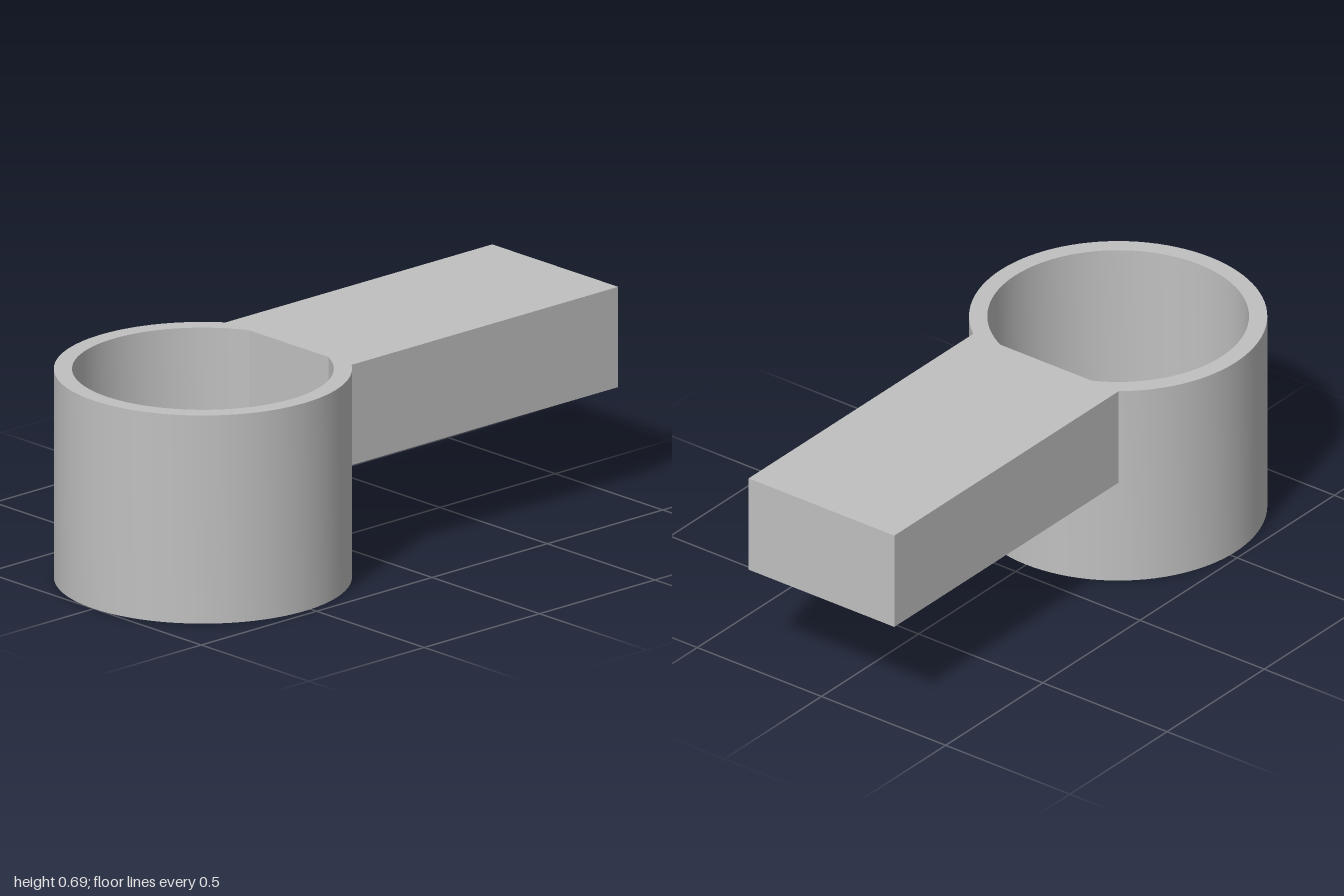
import * as THREE from 'three';
import { toCreasedNormals } from 'three/addons/utils/BufferGeometryUtils.js';

const HEIGHT = 0.695;
const CUP = { x: -0.527, outer: 0.473, inner: 0.415, floor: 0.06 };
const HANDLE = { x0: -0.155, x1: 1, y0: 0.36, halfWidth: 0.293 };

export function createModel() {
  const model = new THREE.Group();
  model.name = 'handledCup';

  const grey = new THREE.MeshStandardMaterial({ color: 0xc0c0c0 });
  grey.name = 'plain grey';

  // Round cup with a closed bottom, turned from its wall section
  const section = [
    [0, 0], [CUP.outer, 0], [CUP.outer, HEIGHT],
    [CUP.inner, HEIGHT], [CUP.inner, CUP.floor], [0, CUP.floor],
  ].map(([r, y]) => new THREE.Vector2(r, y));
  const cup = new THREE.Mesh(
    toCreasedNormals(new THREE.LatheGeometry(section, 96), Math.PI / 6), grey);
  cup.name = 'cup';
  cup.position.x = CUP.x;
  model.add(cup);

  // Straight handle, flush with the rim; its flat end cuts into the bore
  const length = HANDLE.x1 - HANDLE.x0;
  const depth = HEIGHT - HANDLE.y0;
  const handle = new THREE.Mesh(
    new THREE.BoxGeometry(length, depth, HANDLE.halfWidth * 2), grey);
  handle.name = 'handle';
  handle.position.set(HANDLE.x0 + length / 2, HANDLE.y0 + depth / 2, 0);
  model.add(handle);

  return model;
}
